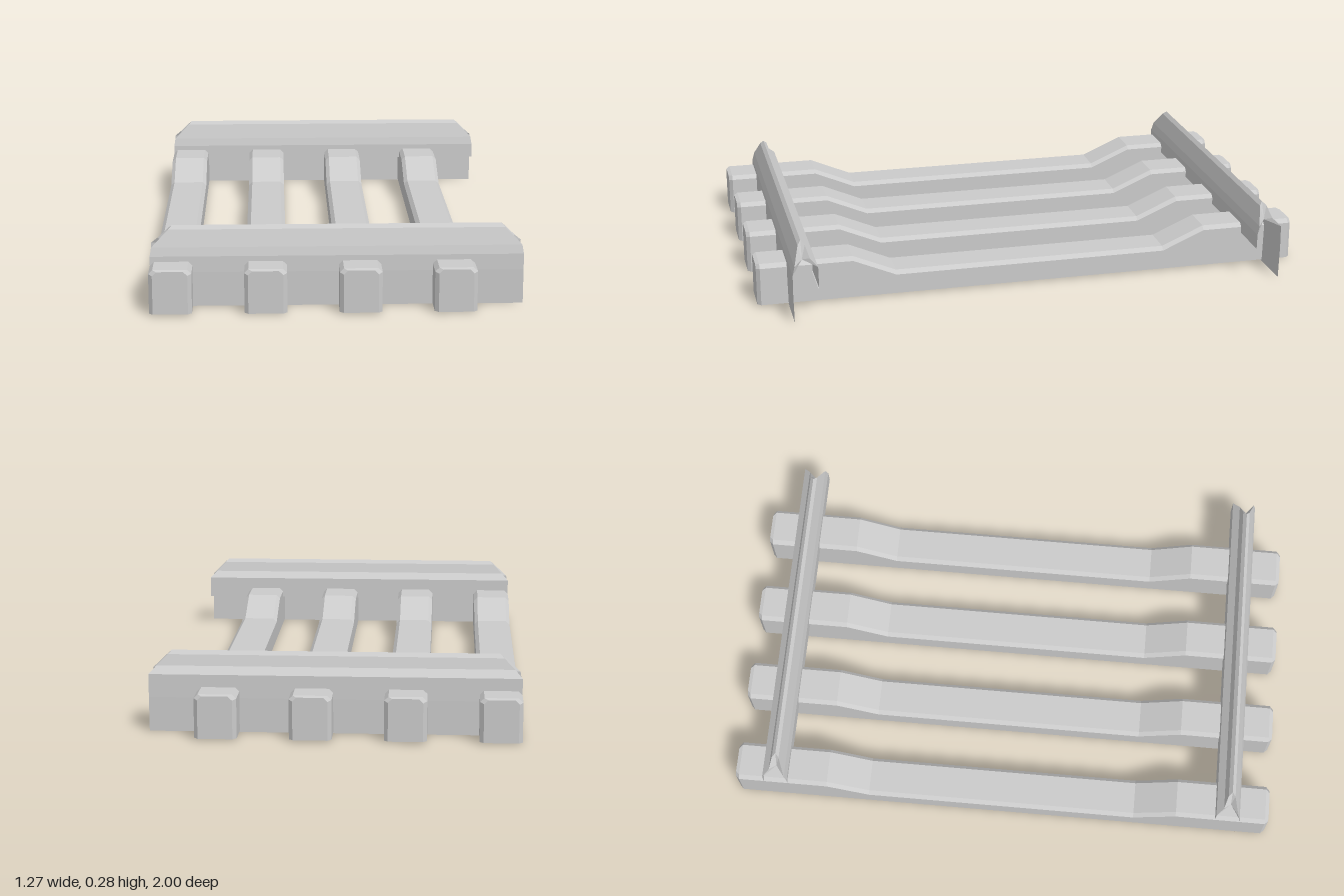
import * as THREE from 'three';

const material = new THREE.MeshStandardMaterial({
  color: 0xcccccc, flatShading: true, side: THREE.DoubleSide,
});

// Skin a list of cross-sections (rows of [x, y, z]) with quads.
function loft(rows) {
  const n = rows[0].length;
  const index = [];
  for (let i = 0; i < rows.length - 1; i++) {
    for (let j = 0; j < n - 1; j++) {
      const a = i * n + j, b = a + 1, c = a + n, d = c + 1;
      index.push(a, c, b, b, c, d);
    }
  }
  const geometry = new THREE.BufferGeometry();
  geometry.setAttribute('position', new THREE.Float32BufferAttribute(rows.flat(2), 3));
  geometry.setIndex(index);
  geometry.computeVertexNormals();
  return geometry;
}

// Long beam, open underneath, with raised ends and chamfered edges.
function beamGeometry() {
  const base = 0.005, bevel = 0.014;
  const section = (z, top, w) => [
    [-w, base, z], [-w, top - bevel, z], [-w + bevel, top, z],
    [w - bevel, top, z], [w, top - bevel, z], [w, base, z],
  ];
  const half = [[0.5, 0.09, 0.072], [0.655, 0.157, 0.072], [0.987, 0.157, 0.072], [1, 0.153, 0.059]];
  const front = half.map(([z, top, w]) => section(z, top, w));
  const back = half.map(([z, top, w]) => section(-z, top, w)).reverse();
  // Fold the last section down to its base to close each end.
  const close = (row) => row.map(([x, , z]) => [x, base, z]);
  return loft([close(back[0]), ...back, ...front, close(front[front.length - 1])]);
}

// Cross rail: a ridged cap with a skirt down either side.
function railGeometry(frontBottom, backBottom) {
  const profile = [ // [z, y] from the front skirt over the cap to the back skirt
    [0.043, frontBottom], [0.045, 0.12], [0.044, 0.175], [0.036, 0.205],
    [0.016, 0.262], [0.004, 0.275], [-0.009, 0.262], [-0.02, 0.225],
    [-0.045, 0.2], [-0.046, 0.12], [-0.043, backBottom],
  ];
  const endX = (y) => 0.635 - Math.max(0, y - 0.2);
  const end = (s) => profile.map(([z, y]) => [s * endX(y), y, z]);
  // Draw the cap outline inward to a point for a dented end.
  const dent = (s) => end(s).map((p, j) => (j > 2 && j < 8 ? [s * 0.59, 0.215, 0.005] : p));
  return loft([dent(-1), end(-1), end(1), dent(1)]);
}

export function createModel() {
  const model = new THREE.Group();
  const add = (name, geometry, x, z) => {
    const mesh = new THREE.Mesh(geometry, material);
    mesh.name = name;
    mesh.position.set(x, 0, z);
    model.add(mesh);
  };

  const beam = beamGeometry();
  for (let i = 0; i < 4; i++) add(`beam${i + 1}`, beam, -0.563 + i * 0.32, 0);

  // The longer skirt of each rail faces outward.
  add('frontRail', railGeometry(0, 0.12), 0, 0.847);
  add('backRail', railGeometry(0.12, 0), 0, -0.847);
  return model;
}
